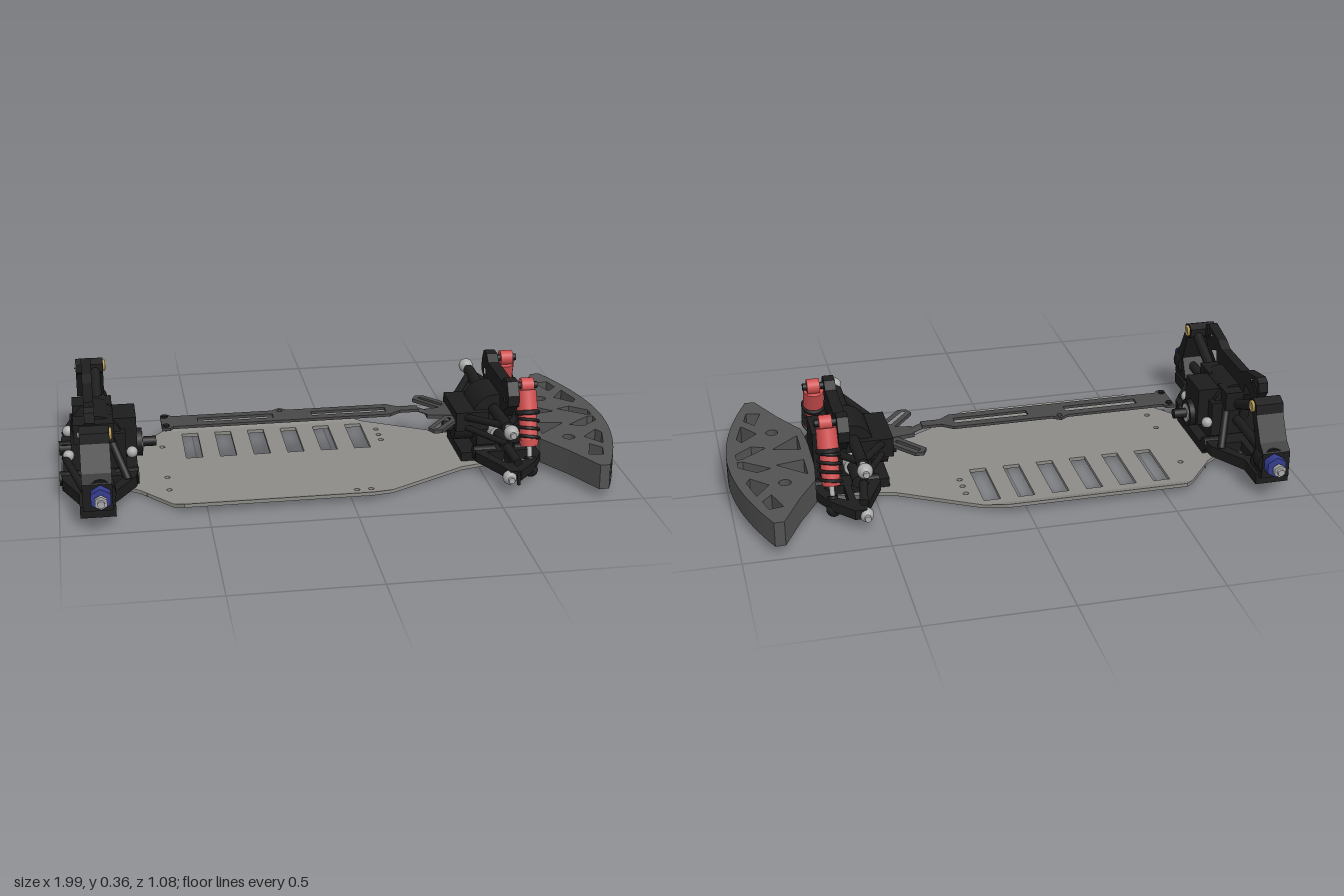
import * as THREE from 'three';

const mat = (name, color, side = THREE.FrontSide) => {
  const m = new THREE.MeshStandardMaterial({ color, side });
  m.name = name;
  return m;
};

export function createModel() {
  const black = mat('black plastic', 0x1c1c1c), alloy = mat('grey alloy', 0x8c8b87);
  const deck = mat('dark deck', 0x484848), foam = mat('bumper grey', 0x525252);
  const red = mat('red', 0xd04f4f), blue = mat('blue', 0x353d90);
  const steel = mat('steel', 0xa9a9a9), brass = mat('brass', 0xb89a50);
  const model = new THREE.Group();
  let parent = model;
  const V = (x, y, z) => new THREE.Vector3(x, y, z);
  const section = (name) => { parent = new THREE.Group(); parent.name = name; model.add(parent); };
  const add = (name, geo, m) => {
    const mesh = new THREE.Mesh(geo, m);
    mesh.name = name;
    parent.add(mesh);
    return mesh;
  };
  // box given by its limits
  const box = (name, m, x0, x1, y0, y1, z0, z1) =>
    add(name, new THREE.BoxGeometry(x1 - x0, y1 - y0, Math.abs(z1 - z0)), m)
      .position.set((x0 + x1) / 2, (y0 + y1) / 2, (z0 + z1) / 2);
  // cylinder or cone between two points
  const rod = (name, m, a, b, r, r2 = r, n = 20) => {
    const mesh = add(name, new THREE.CylinderGeometry(r2, r, a.distanceTo(b), n), m);
    mesh.position.copy(a).lerp(b, 0.5);
    mesh.quaternion.setFromUnitVectors(V(0, 1, 0), b.clone().sub(a).normalize());
    return mesh;
  };
  const ball = (name, m, p, r) => add(name, new THREE.SphereGeometry(r, 20, 14), m).position.copy(p);
  const ring = (name, m, p, dir, r, tube) => {
    const mesh = add(name, new THREE.TorusGeometry(r, tube, 8, 24), m);
    mesh.position.copy(p);
    mesh.quaternion.setFromUnitVectors(V(0, 0, 1), dir.clone().normalize());
  };
  const poly = (pts) => pts.map(([x, y]) => new THREE.Vector2(x, y));
  const circle = (x, y, r) => Array.from({ length: 16 }, (_, i) =>
    [x + r * Math.cos(i * Math.PI / 8), y + r * Math.sin(i * Math.PI / 8)]);
  const rect = (x0, x1, y0, y1) => [[x0, y0], [x1, y0], [x1, y1], [x0, y1]];
  const extrude = (pts, depth, holes) => {
    const shape = new THREE.Shape(poly(pts));
    holes.forEach(h => shape.holes.push(new THREE.Path(poly(h))));
    return new THREE.ExtrudeGeometry(shape, { depth, bevelEnabled: false });
  };
  // flat plate, outline in x and z
  const plate = (name, m, pts, y0, y1, holes = []) =>
    add(name, extrude(pts, y1 - y0, holes).rotateX(Math.PI / 2).translate(0, y1, 0), m);
  // upright plate, outline in z and y
  const upright = (name, m, pts, x0, x1, holes = []) => {
    const flip = l => l.map(([z, y]) => [-z, y]);
    return add(name, extrude(flip(pts), x1 - x0, holes.map(flip)).rotateY(Math.PI / 2).translate(x0, 0, 0), m);
  };
  const mirrored = half => [...half, ...half.map(([a, b]) => [a, -b]).reverse()];
  const mirroredZ = half => [...half, ...half.map(([a, b]) => [-a, b]).reverse()];
  const flipZ = (pts, s) => pts.map(([x, z]) => [x, s * z]);
  const sides = [1, -1];

  // Chassis plate with slots, screw holes and bent-up edges
  section('chassis');
  const slots = [0, 1, 2, 3, 4, 5].map(i => rect(-0.54 + i * 0.124, -0.48 + i * 0.124, -0.3, -0.065));
  const holes = [[-0.69, 0.235], [-0.69, -0.235], [-0.62, 0.21], [-0.62, -0.185], [-0.62, 0.1],
    [0.025, 0.31], [0.075, 0.31], [0.19, -0.235], [0.19, -0.18], [0.19, -0.13]].map(([x, z]) => circle(x, z, 0.01));
  plate('chassisPlate', alloy, mirrored([[-0.99, 0.13], [-0.8, 0.14], [-0.72, 0.2], [-0.616, 0.33], [0.149, 0.33],
    [0.43, 0.17], [0.7, 0.1], [0.78, 0.07]]), 0.005, 0.018, [...slots, ...holes]);
  for (const s of sides) {
    const g = plate('chassisEdge', alloy, flipZ([[-0.616, 0.33], [-0.58, 0.375], [0.07, 0.375], [0.149, 0.33]], s), 0.005, 0.018).geometry;
    const p = g.attributes.position;
    for (let i = 0; i < p.count; i++) p.setY(i, p.getY(i) + (Math.abs(p.getZ(i)) - 0.33) * 0.35);
    g.computeVertexNormals();
    for (const x of [-0.93, -0.84, -0.76, 0.5, 0.6, 0.68])
      rod('plateScrew', black, V(x, 0, s * 0.06), V(x, 0.006, s * 0.06), 0.012);
  }

  // Top deck brace, stepping down to a forked front mount
  section('topDeck');
  plate('deckBar', deck, [[-0.63, -0.065], [-0.6, -0.065], [-0.59, -0.05], [-0.23, -0.05], [-0.2, -0.07], [-0.17, -0.05],
    [0.19, -0.05], [0.23, -0.02], [0.3, -0.02], [0.3, 0.02], [0.23, 0.02], [0.19, 0.05], [-0.59, 0.05], [-0.6, 0.065], [-0.63, 0.065]],
  0.18, 0.19, [rect(-0.5, -0.23, -0.018, 0.018), rect(-0.09, 0.18, -0.018, 0.018), circle(-0.2, -0.045, 0.01)]);
  for (const s of sides) {
    rod('deckScrew', black, V(-0.615, 0.176, s * 0.045), V(-0.615, 0.196, s * 0.045), 0.012);
    plate('forkArm', deck, flipZ([[0.31, 0.145], [0.325, 0.175], [0.355, 0.175], [0.44, 0.07], [0.44, 0.02], [0.4, 0.03]], s),
      0.155, 0.168, [flipZ([[0.33, 0.15], [0.34, 0.16], [0.41, 0.075], [0.4, 0.062]], s)]);
  }
  const step = rod('deckStep', deck, V(0.29, 0.185, 0), V(0.35, 0.162, 0), 0.02);
  step.scale.set(0.3, 1, 1);
  plate('forkBase', deck, [[0.33, -0.03], [0.46, -0.05], [0.46, 0.05], [0.33, 0.03]], 0.156, 0.17);

  // Bumper with triangular lightening holes
  section('bumper');
  const arc = Array.from({ length: 25 }, (_, i) => {
    const z = -0.465 + 0.93 * i / 24;
    return [0.995 - 0.11 * Math.pow(Math.abs(z) / 0.465, 1.9), z];
  });
  const cuts = sides.flatMap(s => [
    [[0.84, 0.36], [0.89, 0.37], [0.905, 0.31], [0.87, 0.27]],
    [[0.87, 0.2], [0.92, 0.27], [0.945, 0.17], [0.93, 0.14]],
    [[0.73, 0.04], [0.73, 0.15], [0.83, 0.06]],
    [[0.85, 0.08], [0.9, 0.1], [0.96, 0.05], [0.96, 0.01], [0.94, 0.01]],
    circle(0.815, 0.195, 0.022)].map(h => flipZ(h, s)));
  plate('bumperBlock', foam, [...arc, [0.85, 0.465], [0.78, 0.32], [0.71, 0.2], [0.7, 0.1],
    [0.7, -0.1], [0.71, -0.2], [0.78, -0.32], [0.85, -0.465]], 0.03, 0.12, cuts);

  // Rear gearbox, tower, arms and hubs
  section('rearEnd');
  box('gearboxCase', black, -0.95, -0.76, 0.018, 0.2, -0.11, 0.11);
  rod('gearboxDrum', black, V(-0.86, 0.17, -0.09), V(-0.86, 0.17, 0.09), 0.09, 0.09, 28);
  box('gearboxFoot', black, -0.985, -0.72, 0.018, 0.05, -0.14, 0.14);
  box('gearboxLid', black, -0.8, -0.72, 0.1, 0.24, -0.07, 0.07);
  rod('pinionHousing', black, V(-0.78, 0.12, 0), V(-0.7, 0.12, 0), 0.05);
  rod('outputShaft', black, V(-0.7, 0.12, 0), V(-0.65, 0.12, 0), 0.018);
  rod('bearing', steel, V(-0.71, 0.12, 0), V(-0.697, 0.12, 0), 0.035);
  upright('rearTower', black, mirroredZ([[0.1, 0.06], [0.13, 0.2], [0.24, 0.255], [0.28, 0.31], [0.275, 0.345], [0.25, 0.357],
    [0.14, 0.335], [0.1, 0.315]]), -0.9, -0.865, sides.flatMap(s => [
    circle(s * 0.25, 0.335, 0.01), circle(s * 0.25, 0.305, 0.01), circle(s * 0.21, 0.325, 0.008),
    [[s * 0.14, 0.24], [s * 0.2, 0.27], [s * 0.15, 0.29]]]));
  for (const s of sides) {
    plate('rearLowerArm', black, flipZ([[-0.99, 0.12], [-0.985, 0.2], [-0.93, 0.33], [-0.93, 0.44], [-0.81, 0.44], [-0.81, 0.33],
      [-0.73, 0.2], [-0.72, 0.12]], s), 0.035, 0.075,
    [[[-0.94, 0.19], [-0.875, 0.19], [-0.875, 0.3], [-0.9, 0.3]],
      [[-0.85, 0.19], [-0.77, 0.19], [-0.83, 0.3], [-0.85, 0.3]]].map(h => flipZ(h, s)));
    for (const x of [-0.955, -0.76])
      rod('armPivot', black, V(x - 0.04, 0.055, s * 0.14), V(x + 0.04, 0.055, s * 0.14), 0.026);
    // hub carrier sweeping up to the link pivot
    upright('hubCarrier', black, [[0.34, 0.325], [0.375, 0.31], [0.38, 0.275], [0.43, 0.19], [0.465, 0.165], [0.465, 0.07],
      [0.38, 0.04], [0.35, 0.09], [0.39, 0.16], [0.35, 0.26], [0.31, 0.28], [0.31, 0.31]].map(([z, y]) => [s * z, y]),
    -0.92, -0.82, [circle(s * 0.343, 0.295, 0.014), [[0.4, 0.1], [0.44, 0.1], [0.44, 0.14], [0.41, 0.14]].map(([z, y]) => [s * z, y])]);
    ring('pivotBush', brass, V(-0.817, 0.295, s * 0.343), V(1, 0, 0), 0.016, 0.006);
    rod('pivotPin', steel, V(-0.925, 0.295, s * 0.343), V(-0.815, 0.295, s * 0.343), 0.009);
    rod('rearUpperLink', black, V(-0.85, 0.29, s * 0.34), V(-0.85, 0.2, s * 0.13), 0.019);
    rod('driveShaft', black, V(-0.86, 0.125, s * 0.1), V(-0.86, 0.125, s * 0.45), 0.018);
    rod('hubBarrel', black, V(-0.86, 0.125, s * 0.4), V(-0.86, 0.125, s * 0.46), 0.052);
    rod('wheelHex', blue, V(-0.86, 0.125, s * 0.45), V(-0.86, 0.125, s * 0.5), 0.038, 0.038, 6);
    rod('axle', steel, V(-0.86, 0.125, s * 0.5), V(-0.86, 0.125, s * 0.542), 0.012);
    rod('wheelNut', steel, V(-0.86, 0.125, s * 0.513), V(-0.86, 0.125, s * 0.53), 0.023, 0.023, 6);
    for (const x of [-0.96, -0.74]) ball('rearBallStud', steel, V(x, 0.13, s * 0.115), 0.02);
    box('towerMount', black, -0.94, -0.8, 0.18, 0.25, s * 0.05, s * 0.14);
    rod('rearBrace', black, V(-0.76, 0.07, s * 0.22), V(-0.82, 0.2, s * 0.1), 0.014);
    rod('toeLink', black, V(-0.97, 0.12, s * 0.12), V(-0.91, 0.11, s * 0.39), 0.013);
  }

  // Front gearbox, tower, arms and steering
  section('frontEnd');
  box('gearboxCase', black, 0.5, 0.68, 0.018, 0.2, -0.1, 0.1);
  rod('gearboxDrum', black, V(0.57, 0.17, -0.085), V(0.57, 0.17, 0.085), 0.085, 0.085, 28);
  box('gearboxFoot', black, 0.44, 0.71, 0.018, 0.05, -0.12, 0.12);
  box('gearboxNose', black, 0.64, 0.7, 0.04, 0.23, -0.075, 0.075);
  box('deckMount', black, 0.42, 0.54, 0.13, 0.2, -0.11, 0.11);
  rod('inputHousing', black, V(0.43, 0.11, 0), V(0.52, 0.11, 0), 0.05);
  rod('inputShaft', black, V(0.395, 0.11, 0), V(0.43, 0.11, 0), 0.02);
  upright('frontTower', black, mirroredZ([[0.1, 0.06], [0.11, 0.18], [0.15, 0.22], [0.2, 0.25], [0.2, 0.29], [0.175, 0.335],
    [0.13, 0.335], [0.1, 0.31]]), 0.585, 0.625, sides.map(s => circle(s * 0.15, 0.26, 0.012)));
  for (const s of sides) {
    plate('frontLowerArm', black, flipZ([[0.49, 0.1], [0.48, 0.17], [0.54, 0.3], [0.56, 0.36], [0.6, 0.36], [0.67, 0.28], [0.71, 0.2],
      [0.71, 0.1]], s), 0.035, 0.07, [[[0.52, 0.17], [0.585, 0.17], [0.585, 0.28], [0.57, 0.28]],
      [[0.61, 0.17], [0.68, 0.17], [0.65, 0.25], [0.61, 0.28]]].map(h => flipZ(h, s)));
    for (const x of [0.52, 0.67])
      rod('armPivot', black, V(x - 0.04, 0.055, s * 0.13), V(x + 0.04, 0.055, s * 0.13), 0.024);
    for (const [y, r] of [[0.213, 0.027], [0.045, 0.025]]) {
      ball('ballStud', steel, V(0.56, y, s * 0.35), r);
      rod('studThread', steel, V(0.56, y, s * 0.29), V(0.56, y, s * 0.385), 0.011);
    }
    rod('upperLink', black, V(0.56, 0.205, s * 0.1), V(0.56, 0.212, s * 0.3), 0.021);
    for (const x of [0.46, 0.66]) rod('upperArmStay', black, V(x, 0.18, s * 0.1), V(0.56, 0.21, s * 0.28), 0.013);
    rod('steeringRod', black, V(0.45, 0.14, s * 0.08), V(0.56, 0.15, s * 0.3), 0.011);
    rod('steeringEnd', black, V(0.56, 0.14, s * 0.3), V(0.575, 0.12, s * 0.4), 0.015);
    rod('driveCup', steel, V(0.57, 0.125, s * 0.1), V(0.57, 0.125, s * 0.145), 0.033);
    rod('driveShaft', black, V(0.57, 0.125, s * 0.14), V(0.57, 0.125, s * 0.26), 0.022);
    rod('shockPin', black, V(0.62, 0.31, s * 0.15), V(0.7, 0.31, s * 0.15), 0.013);
    ball('armBall', black, V(0.66, 0.03, s * 0.26), 0.026);
  }
  rod('kingPin', black, V(0.565, 0.06, 0.45), V(0.565, 0.11, 0.45), 0.006);

  // Oil-filled shocks with dark coil springs
  section('shocks');
  for (const s of sides) {
    const a = V(0.66, 0.31, s * 0.15), b = V(0.66, 0.035, s * 0.257), dir = b.clone().sub(a);
    const at = t => a.clone().lerp(b, t);
    rod('shockEye', red, V(0.64, 0.31, s * 0.15), V(0.685, 0.31, s * 0.15), 0.027);
    rod('shockCap', red, at(0.06), at(0.3), 0.036, 0.038);
    rod('shockBody', red, at(0.3), at(0.66), 0.032);
    rod('springSeat', red, at(0.66), at(0.74), 0.036, 0.03);
    rod('shockRod', steel, at(0.74), at(0.92), 0.009);
    rod('shockEnd', black, at(0.86), at(1), 0.018);
    ring('springCollar', black, at(0.33), dir, 0.036, 0.009);
    const coil = Array.from({ length: 61 }, (_, i) => {
      const w = i / 60 * Math.PI * 7;
      return V(0.037 * Math.cos(w), i / 60, 0.037 * Math.sin(w));
    });
    const len = dir.length() * 0.36;
    coil.forEach(p => { p.y = (p.y - 0.5) * len; });
    const spring = add('spring', new THREE.TubeGeometry(new THREE.CatmullRomCurve3(coil), 120, 0.006, 6), black);
    spring.position.copy(at(0.52));
    spring.quaternion.setFromUnitVectors(V(0, 1, 0), dir.clone().normalize());
  }
  return model;
}
